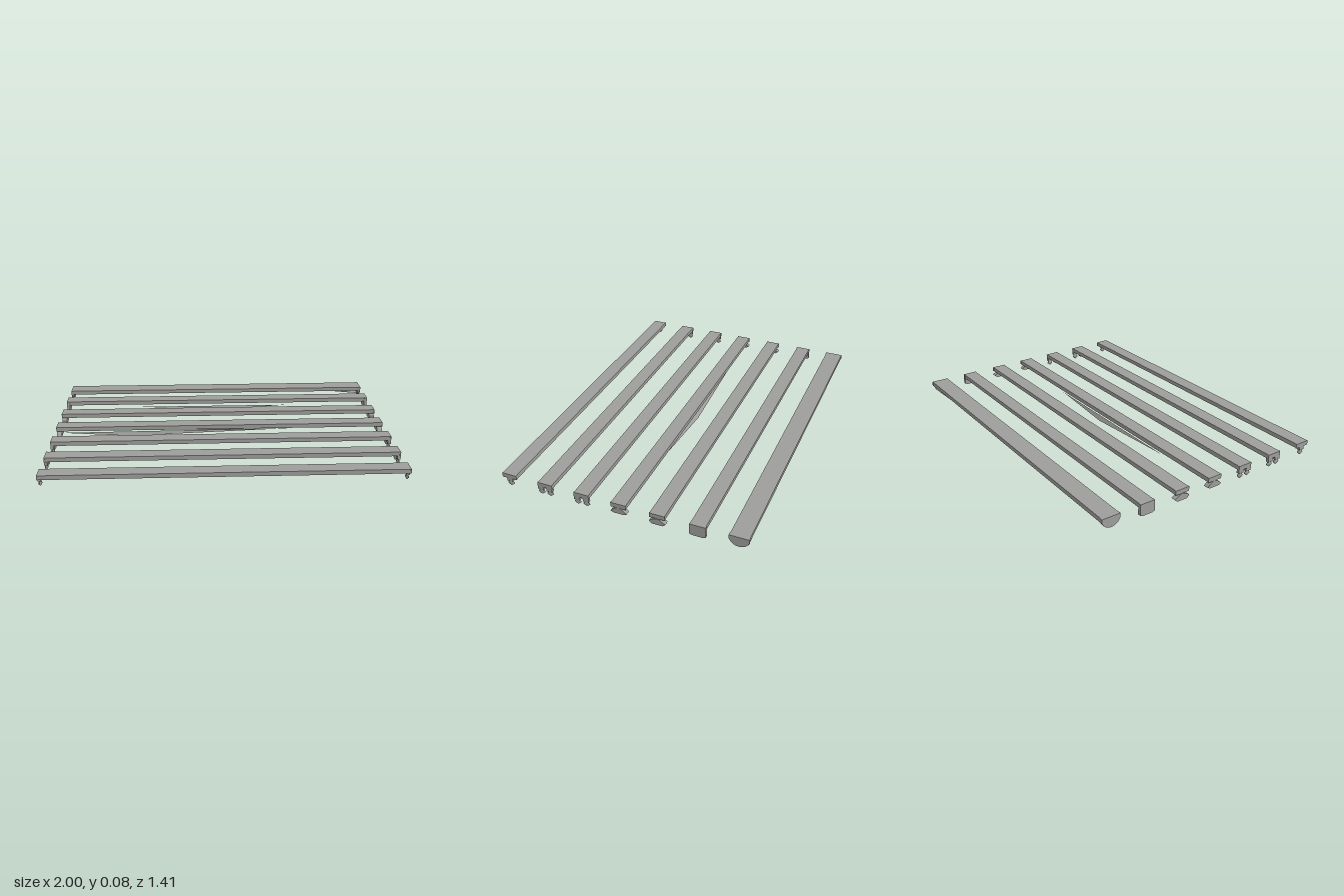
import * as THREE from 'three';

const grey = new THREE.MeshStandardMaterial({ color: 0x9e9e9c });
grey.name = 'grey';
const thinGrey = new THREE.MeshStandardMaterial({ color: 0x9e9e9c, side: THREE.DoubleSide });
thinGrey.name = 'grey thin sheet';

const TOP = 0.08, UNDER = 0.055, CLIP = 0.018;

function add(parent, geometry, name, material = grey) {
  const mesh = new THREE.Mesh(geometry, material);
  mesh.name = name;
  parent.add(mesh);
  return mesh;
}

// Plate with a (z, y) outline, extruded along x from x0
function plate(points, x0, depth) {
  const shape = new THREE.Shape(points.map(([z, y]) => new THREE.Vector2(-z, y)));
  const geo = new THREE.ExtrudeGeometry(shape, { depth, bevelEnabled: false });
  return geo.rotateY(Math.PI / 2).translate(x0, 0, 0);
}

function bothEnds(parent, points, name, depth = CLIP) {
  for (const x0 of [-1, 1 - depth]) add(parent, plate(points, x0, depth), name);
}

// Leg ending in a barbed tip that leans outward
function barb(parent, z, legTop) {
  bothEnds(parent, [[z - 0.017, 0.034], [z + 0.017, 0.034], [z + 0.017, legTop], [z - 0.017, legTop]], 'clipLeg');
  for (const side of [-1, 1]) {
    const profile = [[0, 0], [0.008, 0.006], [0.02, 0.016], [0.014, 0.026], [0.009, 0.036]];
    const geo = new THREE.LatheGeometry(profile.map(p => new THREE.Vector2(...p)), 12);
    geo.scale(0.5, 1, 1);
    add(parent, geo, 'barbTip').position.set(side * 0.99, 0, z);
  }
}

// Thin sagging strip below a slat
function strip(parent, points) {
  const geo = new THREE.BufferGeometry();
  geo.setAttribute('position', new THREE.Float32BufferAttribute(points.flat(), 3));
  const index = [];
  for (let i = 1; i < points.length - 1; i++) index.push(0, i, i + 1);
  geo.setIndex(index);
  geo.computeVertexNormals();
  add(parent, geo, 'saggingStrip', thinGrey);
}

export function createModel() {
  const model = new THREE.Group();
  model.name = 'slatSet';

  // Seven slats with thin flanges at both ends
  const rows = [
    [0.662, 0.084], [0.441, 0.084], [0.221, 0.084], [0.004, 0.084],
    [-0.215, 0.084], [-0.436, 0.084], [-0.655, 0.104],
  ];
  const slats = rows.map(([z, width], i) => {
    const group = new THREE.Group();
    group.name = 'slat' + (i + 1);
    group.position.z = z;
    model.add(group);
    add(group, new THREE.BoxGeometry(1.99, TOP - UNDER, width), 'slatBoard').position.y = (TOP + UNDER) / 2;
    const w = width / 2 + 0.002;
    bothEnds(group, [[-w, UNDER - 0.001], [w, UNDER - 0.001], [w, TOP], [-w, TOP]], 'endFlange', 0.007);
    return group;
  });

  // Single and double barbed clips
  barb(slats[0], 0, UNDER);
  for (const s of [-1, 1]) {
    barb(slats[1], s * 0.026, UNDER);
    barb(slats[2], s * 0.026, UNDER);
  }

  // Domed and wedge shaped hooks
  bothEnds(slats[3], [[-0.046, 0.024], [-0.03, 0.017], [0.03, 0.017], [0.046, 0.024],
    [0.034, 0.037], [0.016, 0.05], [0, UNDER], [-0.016, 0.05], [-0.034, 0.037]], 'domedHook', 0.03);
  bothEnds(slats[4], [[-0.047, 0.028], [-0.03, 0.014], [0.03, 0.014], [0.045, 0.026],
    [0.042, 0.035], [0.008, 0.052], [-0.008, 0.052]], 'wedgeHook', 0.03);

  // Full width tapered end plate and half round end plate
  bothEnds(slats[5], [[-0.046, 0.018], [-0.03, 0.011], [0.03, 0.011], [0.046, 0.018], [0.044, TOP], [-0.044, TOP]], 'taperedEnd');
  const round = [];
  for (let i = 0; i <= 16; i++) {
    const a = Math.PI + (i / 16) * Math.PI;
    round.push([0.054 * Math.cos(a), 0.07 + 0.05 * Math.sin(a)]);
  }
  bothEnds(slats[6], [...round, [0.054, TOP], [-0.054, TOP]], 'halfRoundEnd');

  // Slack strips hanging under some of the slats
  strip(slats[3], [[-0.97, 0.04, 0.03], [-0.5, 0.012, 0.035], [-0.3, 0.018, 0.02], [0.45, 0.036, 0]]);
  strip(slats[3], [[-0.6, 0.036, -0.03], [0, 0.01, -0.046], [0.45, 0.036, -0.03]]);
  strip(slats[5], [[-0.5, 0.036, 0.036], [0, 0.01, 0.05], [0.45, 0.036, 0.036]]);
  strip(slats[6], [[0.99, 0.034, -0.046], [0.99, 0.034, 0.046], [0.5, 0.054, -0.04]]);

  return model;
}
